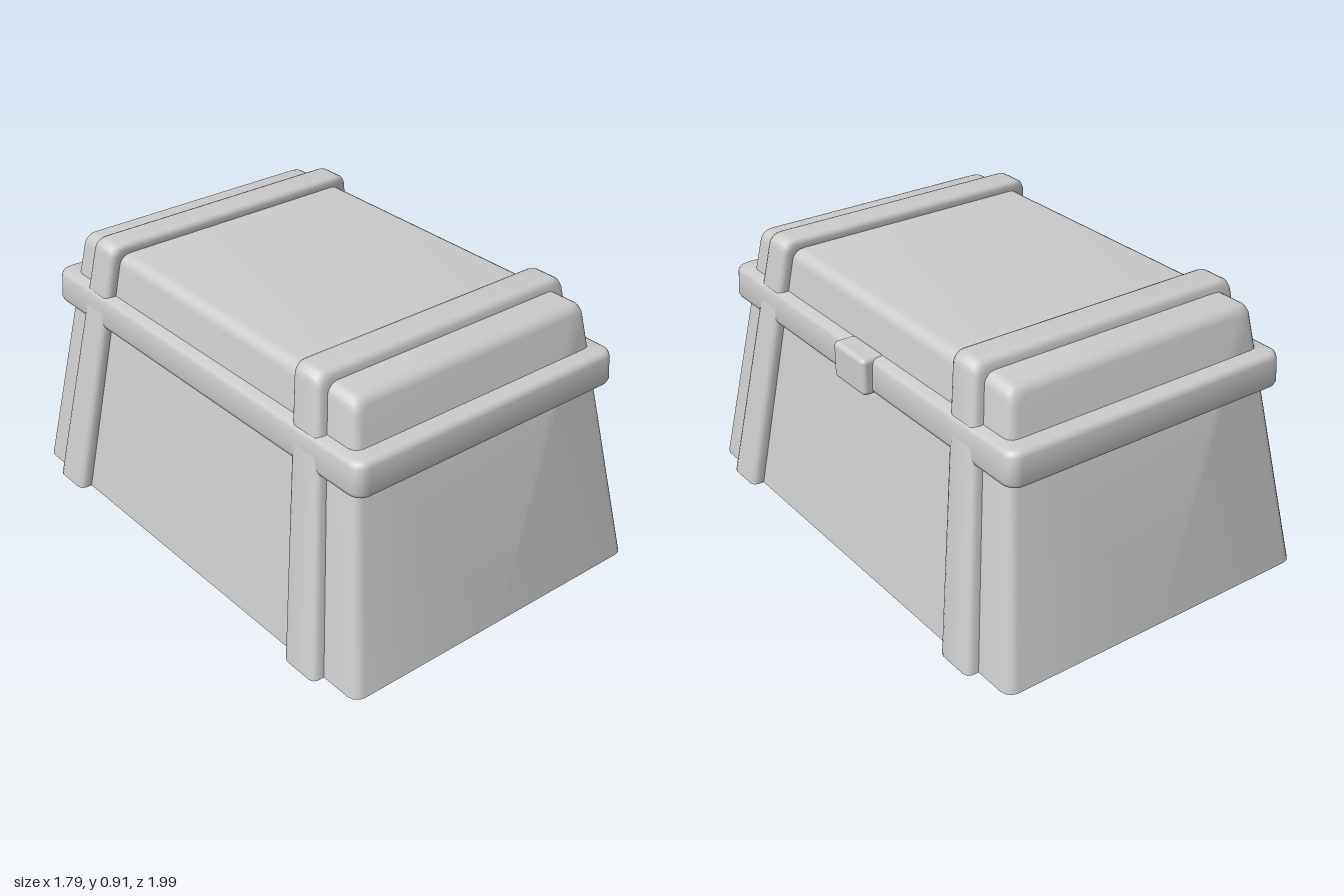
import * as THREE from 'three';
import { toCreasedNormals } from 'three/addons/utils/BufferGeometryUtils.js';
import { RoundedBoxGeometry } from 'three/addons/geometries/RoundedBoxGeometry.js';

const material = new THREE.MeshStandardMaterial({ color: 0xcccccc, side: THREE.DoubleSide });

// Skin over rows of points; caps are fans [centre, row, flip]
function skin(name, rows, caps = []) {
  const pos = [];
  const tri = (a, b, c) => pos.push(...a, ...b, ...c);
  for (let j = 0; j < rows.length - 1; j++) {
    for (let i = 0; i < rows[j].length - 1; i++) {
      const a = rows[j][i], b = rows[j][i + 1], c = rows[j + 1][i + 1], d = rows[j + 1][i];
      tri(a, b, c);
      tri(a, c, d);
    }
  }
  for (const [centre, row, flip] of caps) {
    for (let i = 0; i < row.length - 1; i++) {
      if (flip) tri(centre, row[i + 1], row[i]);
      else tri(centre, row[i], row[i + 1]);
    }
  }
  const geo = new THREE.BufferGeometry();
  geo.setAttribute('position', new THREE.Float32BufferAttribute(pos, 3));
  const mesh = new THREE.Mesh(toCreasedNormals(geo, 0.9), material);
  mesh.name = name;
  return mesh;
}

// Arch-shaped section of the tapered crate at station s, pushed outward by d
function archSection(s, d) {
  const top = 0.875 + d * 0.8, r = 0.04, steps = 5;
  const half = y => (0.566 + d) * (1 - 0.245 * y);
  const right = [[half(0), 0]];
  const cx = half(top - r) - r;
  for (let k = 0; k <= steps; k++) {
    const a = (k / steps) * Math.PI / 2;
    right.push([cx + r * Math.cos(a), top - r + r * Math.sin(a)]);
  }
  const left = right.map(([x, y]) => [-x, y]).reverse();
  return [...right, ...left].map(([x, y]) => [x, y, s * (1 - 0.217 * y)]);
}

// Rounded rectangle ring at height y
function ring(hx, hz, y, r = 0.04) {
  const pts = [];
  for (let q = 0; q < 4; q++) {
    const sx = q === 0 || q === 3 ? 1 : -1, sz = q < 2 ? -1 : 1;
    for (let k = 0; k <= 5; k++) {
      const a = (q + k / 5) * Math.PI / 2;
      pts.push([sx * (hx - r) + r * Math.cos(a), y, sz * (hz - r) - r * Math.sin(a)]);
    }
  }
  pts.push(pts[0]);
  return pts;
}

export function createModel() {
  const model = new THREE.Group();
  model.name = 'crate';
  const crate = new THREE.Group();
  crate.name = 'crateBody';

  // Shell with two raised straps, open underneath: [station, outward offset]
  const halfRun = [
    [0.56, 0], [0.56, 0.02], [0.566, 0.034], [0.58, 0.04],
    [0.68, 0.04], [0.694, 0.034], [0.70, 0.02], [0.70, 0],
    [0.805, 0], [0.822, -0.005], [0.835, -0.018], [0.84, -0.035],
  ];
  const run = [...halfRun.map(([s, d]) => [-s, d]).reverse(), ...halfRun];
  const rows = run.map(([s, d]) => archSection(s, d));
  crate.add(skin('shellWithStraps', rows, [
    [[0, 0, -0.84], rows[0], true],
    [[0, 0, 0.84], rows[rows.length - 1], false],
  ]));

  // Band around the lid seam: [inset from outer face, height]
  const bandProfile = [
    [0.07, 0.62], [0.014, 0.62], [0.004, 0.625], [0, 0.637],
    [0.004, 0.713], [0.008, 0.726], [0.018, 0.732], [0.08, 0.732],
  ];
  crate.add(skin('lidBand', bandProfile.map(([t, y]) => ring(0.508 - t, 0.772 - t, y))));

  // Latch on one long side
  const latch = new THREE.Mesh(new RoundedBoxGeometry(0.08, 0.122, 0.17, 3, 0.016), material);
  latch.name = 'latch';
  latch.position.set(0.498, 0.676, -0.005);
  crate.add(latch);

  crate.rotation.y = Math.PI / 6;
  model.add(crate);
  return model;
}
